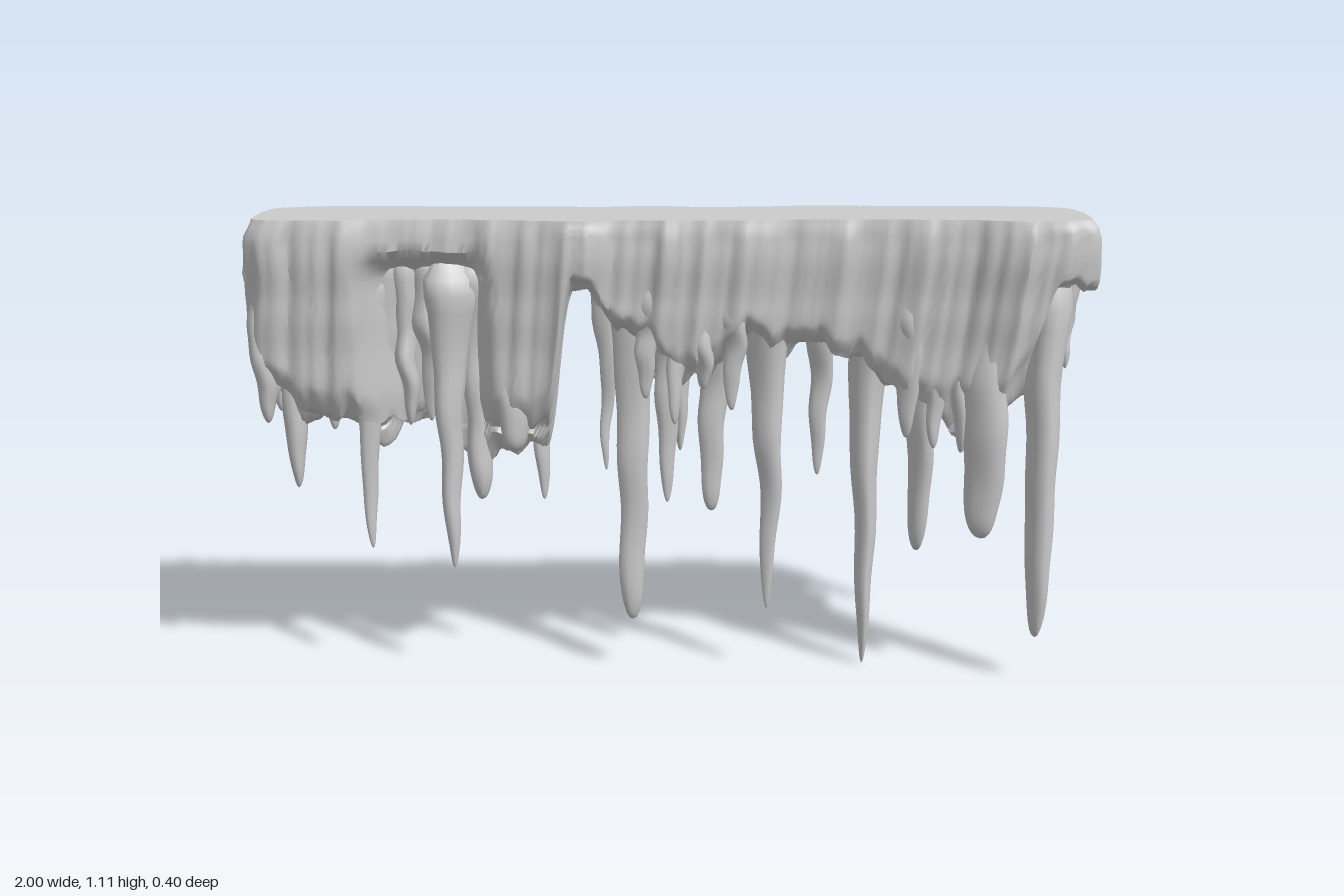
import * as THREE from 'three';
import { mergeVertices, toCreasedNormals } from 'three/addons/utils/BufferGeometryUtils.js';

const { lerp, clamp, smoothstep } = THREE.MathUtils;
const material = new THREE.MeshStandardMaterial({ color: 0xcccccc });

// Smooth repeatable wobble in about -1..1
const wob = (a, s = 0) =>
  0.5 * Math.sin(a + s) + 0.3 * Math.sin(2.3 * a + 1.7 * s) + 0.2 * Math.sin(4.1 * a + 2.9 * s);

// Value at x on a polyline of [x, value] points
function along(points, x) {
  const i = clamp(points.findIndex((p) => p[0] >= x), 1, points.length - 1);
  const [a, b] = [points[i - 1], points[i]];
  return lerp(a[1], b[1], smoothstep(x, a[0], b[0]));
}

// Soft window: 1 between a and b, fading to 0 over the edge width
const between = (x, a, b, edge) => smoothstep(x, a - edge, a + edge) * (1 - smoothstep(x, b - edge, b + edge));

// Moves every vertex by a rule and welds the seams
function deform(geo, rule) {
  geo.deleteAttribute('uv');
  geo.deleteAttribute('normal');
  const p = geo.attributes.position;
  const v = new THREE.Vector3();
  for (let i = 0; i < p.count; i++) {
    v.fromBufferAttribute(p, i);
    rule(v);
    p.setXYZ(i, v.x, v.y, v.z);
  }
  const out = mergeVertices(geo, 1e-5);
  out.computeVertexNormals();
  return out;
}

function add(parent, name, geo) {
  const mesh = new THREE.Mesh(geo, material);
  mesh.name = name;
  parent.add(mesh);
}

// Long icicles
const ICICLES = [
  { x: -0.91, z: -0.03, tip: 0.44, rx: 0.05 },
  { x: -0.72, z: 0.05, tip: 0.31, rx: 0.038 },
  { x: -0.52, z: 0.08, tip: 0.27, rx: 0.044 },
  { x: -0.455, z: 0.04, tip: 0.43, rx: 0.045, taper: 0.4 },
  { x: -0.37, z: 0.09, tip: 0.56, rx: 0.05, taper: 0.3 },
  { x: -0.305, z: 0.04, tip: 0.43, rx: 0.04 },
  { x: -0.16, z: -0.05, tip: 0.48, rx: 0.028 },
  { x: -0.095, z: 0.03, tip: 0.125, rx: 0.043, taper: 0.3, flare: 0.4 },
  { x: -0.01, z: 0.1, tip: 0.44, rx: 0.042 },
  { x: 0.02, z: -0.09, tip: 0.52, rx: 0.038 },
  { x: 0.095, z: 0.03, tip: 0.4, rx: 0.042, taper: 0.4 },
  { x: 0.23, z: 0.05, tip: 0.16, rx: 0.042, flare: 1.3 },
  { x: 0.36, z: -0.125, tip: 0.45, rx: 0.036, taper: 0.5 },
  { x: 0.47, z: -0.005, tip: 0, rx: 0.042, rz: 0.058, taper: 0.6, flare: 1.2 },
  { x: 0.6, z: -0.04, tip: 0.28, rx: 0.04, rz: 0.072, taper: 0.4, flare: 0.6 },
  { x: 0.735, z: 0.095, tip: 0.35, rx: 0.065, rz: 0.055, taper: 0.35, flare: 0.3 },
  { x: 0.87, z: 0.115, tip: 0.11, rx: 0.045, rz: 0.048, taper: 0.42, flare: 0.4 },
  { x: 0.95, z: -0.07, tip: 0.73, rx: 0.03, flare: 0.6 },
];

// Body profiles: lower edge at the front, middle and back; half widths; narrowing with depth
const FRONT_EDGE = [[-1, 0.72], [-0.8, 0.64], [-0.4, 0.63], [-0.3, 0.67], [-0.24, 0.95], [-0.19, 0.95], [-0.13, 0.87],
  [0.03, 0.77], [0.12, 0.78], [0.18, 0.85], [0.3, 0.82], [0.45, 0.8], [0.55, 0.7], [0.77, 0.67], [0.86, 0.8], [0.92, 0.95], [1, 0.97]];
const MIDDLE_EDGE = [[-1, 0.72], [-0.8, 0.64], [-0.32, 0.65], [-0.24, 0.95], [1, 0.95]];
const BACK_EDGE = [[-1, 0.7], [-0.8, 0.64], [-0.35, 0.65], [-0.24, 0.95], [-0.19, 0.95], [-0.1, 0.86], [0.2, 0.84],
  [0.3, 0.9], [0.45, 0.9], [0.6, 0.84], [0.85, 0.84], [0.93, 0.95], [1, 0.97]];
const FRONT_HALF = [[-1, 0.175], [-0.78, 0.172], [-0.6, 0.14], [-0.4, 0.155], [-0.25, 0.185], [-0.1, 0.16],
  [0.1, 0.16], [0.3, 0.14], [0.5, 0.132], [0.7, 0.148], [0.85, 0.185], [1, 0.165]];
const BACK_HALF = [[-1, 0.165], [-0.85, 0.182], [-0.4, 0.175], [-0.2, 0.165], [-0.05, 0.19], [0.1, 0.165],
  [0.4, 0.205], [0.6, 0.19], [0.75, 0.195], [1, 0.18]];
const WIDTH = [[0, 0.95], [0.03, 0.99], [0.08, 1], [0.2, 0.92], [0.33, 0.84], [0.5, 0.79]];

// Flat-topped body with ribbed sides that runs down into the icicles
function bodyGeometry() {
  const geo = deform(new THREE.BoxGeometry(2, 2, 2, 200, 20, 30), (v) => {
    const { x: u, y: h, z: w } = v;
    const edge = lerp(along(MIDDLE_EDGE, u), along(w > 0 ? FRONT_EDGE : BACK_EDGE, u), smoothstep(Math.abs(w), 0.15, 0.55));
    const root = ICICLES.reduce((sum, { x, z, rx }) =>
      sum + Math.exp(-(((u - x) / (rx * 1.2)) ** 2) - ((w * 0.165 - z) / 0.05) ** 2), 0);
    v.y = lerp(edge + 0.028 * wob(u * 33, w * 3) - 0.09 * Math.min(1, root), 1.11, (h + 1) / 2);
    const depth = 1.11 - v.y;
    const rough = 0.3 + 0.7 * smoothstep(depth, 0, 0.05);
    const ribs = 0.012 * wob(u * 32 + depth * 3, w > 0 ? 1 : 4) + 0.005 * wob(u * 60 + depth * 6, 2);
    const pinch = 1 - 0.2 * smoothstep(-h, 0.75, 1);
    // Hollows below the rim: front right, back left and left end
    const frontHollow = w > 0 ? 0.7 * between(u, -0.72, -0.47, 0.05) * smoothstep(depth, 0.07, 0.14) : 0;
    const backHollow = w < 0 ? 0.5 * between(u, 0.28, 0.48, 0.06) * smoothstep(depth, 0.1, 0.2) : 0;
    const endHollow = u > 0.8 ? 0.08 * between(w, -0.6, 0.2, 0.2) * smoothstep(depth, 0.05, 0.1) : 0;
    const half = along(w > 0 ? FRONT_HALF : BACK_HALF, u);
    v.z = w * (half + rough * ribs) * along(WIDTH, depth) * pinch
      * (1 - 0.16 * u ** 20) * (1 - frontHollow) * (1 - backHollow);
    v.x = u * (0.975 - 0.02 * w ** 6 - endHollow - 0.06 * depth * depth)
      + 0.018 * u ** 9 * rough * wob(w * 5 + depth * 6, 2) - 0.012 * u ** 9 * smoothstep(h, 0.8, 1);
  });
  return toCreasedNormals(geo, 0.9);
}

// One hanging drip: flared root, wobbling lobed shaft, rounded tip
function dripGeometry({ x, z, tip, rx = 0.04, rz = rx, top = 1.05, taper = 0.6, flare = 1 }) {
  const seed = x * 31 + z * 57;
  const blunt = taper < 0.5 ? 14 : 7;
  return deform(new THREE.SphereGeometry(1, 14, 28), (v) => {
    const t = 1 - (1 - Math.acos(clamp(v.y, -1, 1)) / Math.PI) ** 1.5;
    const a = Math.atan2(v.z, v.x);
    const ring = Math.hypot(v.x, v.z) < 1e-4 ? 0 : 1;
    const shaft = Math.max(0, 1 - t ** blunt) ** 0.5 * (1 - taper * t);
    const lobes = 1 + 0.1 * Math.sin(3 * a + seed + 2 * t) + 0.06 * wob(t * 8, seed);
    const r = ring * Math.min(1, t * 8) * (shaft + flare * (1 - t) ** 4) * lobes;
    const sway = Math.sin(Math.PI * t) * 0.012;
    v.x = clamp(x + Math.cos(a) * rx * r + sway * wob(t * 6, seed), -1, 1);
    // Roots lean inward so that they start inside the body
    const centre = z * (1 - 0.3 * (1 - t) ** 4);
    v.z = clamp(centre + Math.sin(a) * rz * r + sway * wob(t * 5, seed + 2), -0.175, 0.17);
    v.y = lerp(top, tip, t);
  });
}

// A row of overlapping ribs between two points, with a ragged lower edge
function curtain(parent, name, [x0, z0], [x1, z1], count, bottom, ragged, r = 0.042) {
  const group = new THREE.Group();
  group.name = name;
  for (let i = 0; i < count; i++) {
    const f = i / (count - 1);
    const s = wob(i * 2.7, x0 * 9 + z0 * 20);
    add(group, 'rib', dripGeometry({
      x: lerp(x0, x1, f), z: lerp(z0, z1, f), tip: bottom + ragged * s,
      rx: r * (1 + 0.2 * s), rz: r, taper: 0.5, flare: 0.4,
    }));
  }
  parent.add(group);
}

export function createModel() {
  const model = new THREE.Group();
  model.name = 'icicleSlab';
  add(model, 'body', bodyGeometry());

  // Ribs that break up the lower edges
  curtain(model, 'rightEndRibs', [-0.94, -0.09], [-0.945, 0.1], 4, 0.64, 0.05, 0.045);
  curtain(model, 'rightBackRibs', [-0.83, -0.1], [-0.36, -0.1], 6, 0.57, 0.05);
  curtain(model, 'hollowRibs', [-0.67, 0.04], [-0.57, 0.04], 3, 0.62, 0.03, 0.036);
  curtain(model, 'centreFrontRibs', [-0.06, 0.11], [0.14, 0.11], 4, 0.66, 0.08, 0.036);
  curtain(model, 'centreBackRibs', [-0.12, -0.12], [0.2, -0.12], 5, 0.7, 0.08, 0.038);
  curtain(model, 'leftFrontRibs', [0.55, 0.09], [0.68, 0.09], 3, 0.59, 0.05);
  curtain(model, 'leftBackRibs', [0.54, -0.11], [0.82, -0.1], 4, 0.72, 0.05);

  const group = new THREE.Group();
  group.name = 'icicles';
  ICICLES.forEach((spec) => add(group, 'icicle', dripGeometry(spec)));
  model.add(group);
  return model;
}
